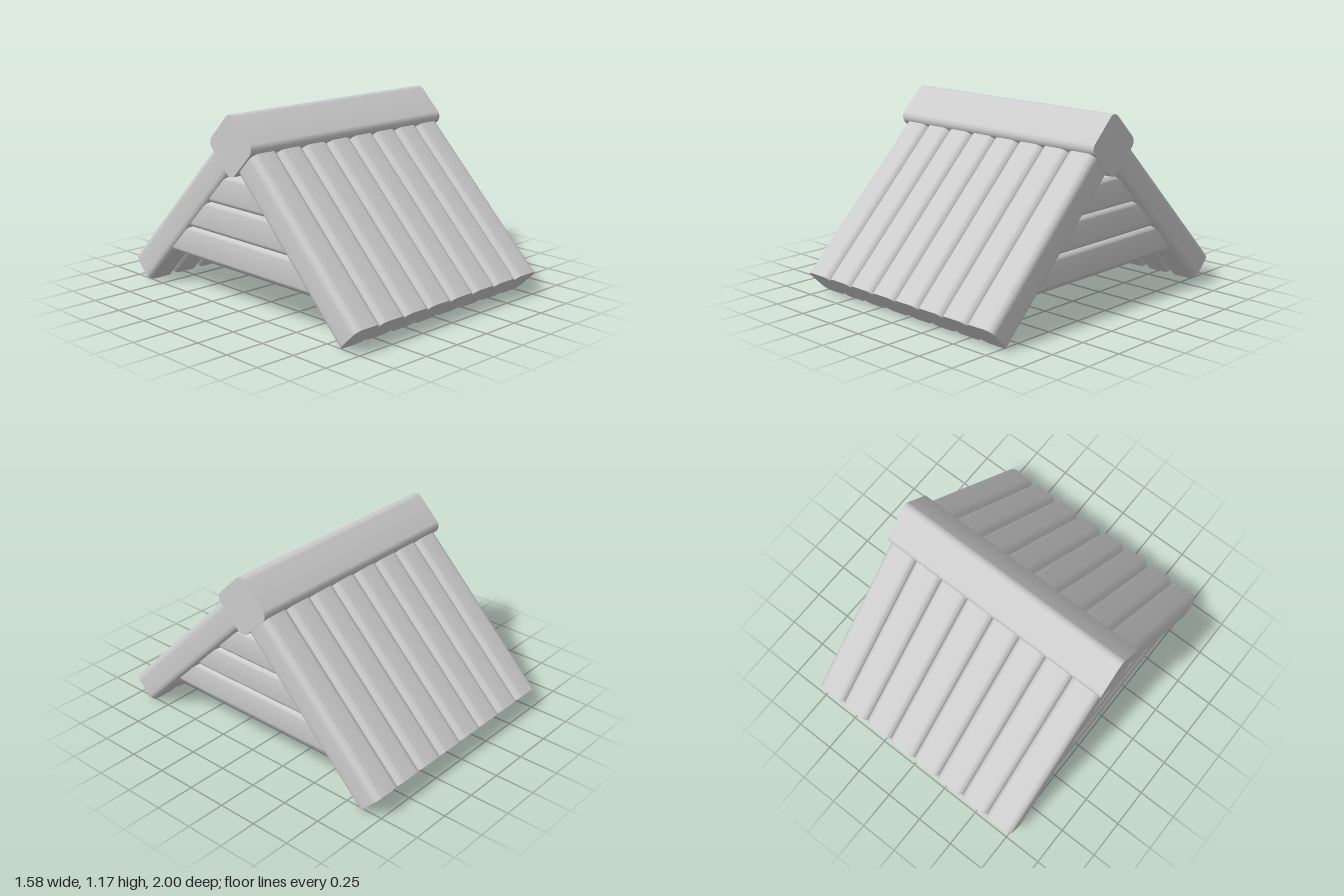
import * as THREE from 'three';
import { toCreasedNormals } from 'three/addons/utils/BufferGeometryUtils.js';

const material = new THREE.MeshStandardMaterial({ color: 0xcccccc });

// Beam with a rounded rectangular section, extruded from z = 0 to z = length
function beam(width, height, length, r = 0.047) {
  const x = width / 2, y = height / 2;
  const s = new THREE.Shape();
  s.absarc(x - r, y - r, r, 0, Math.PI / 2);
  s.absarc(-x + r, y - r, r, Math.PI / 2, Math.PI);
  s.absarc(-x + r, -y + r, r, Math.PI, Math.PI * 1.5);
  s.absarc(x - r, -y + r, r, Math.PI * 1.5, Math.PI * 2);
  const g = new THREE.ExtrudeGeometry(s, { depth: length, bevelEnabled: false, curveSegments: 8 });
  return toCreasedNormals(g, 0.6);
}

function add(parent, name, geometry) {
  const mesh = new THREE.Mesh(geometry, material);
  mesh.name = name;
  parent.add(mesh);
  return mesh;
}

export function createModel() {
  const roof = new THREE.Group();
  roof.name = 'gableRoof';

  // Ridge beam: square section standing on its corner
  const ridgeGeometry = beam(0.283, 0.283, 1.584);
  ridgeGeometry.rotateZ(Math.PI / 4);
  ridgeGeometry.translate(0, 0, -0.792);
  ridgeGeometry.rotateY(Math.PI / 2);
  add(roof, 'ridgeBeam', ridgeGeometry).position.y = 0.993;

  // Two slopes of eight planks, leaning at 45 degrees against the ridge
  const plank = beam(0.196, 0.198, 1.19);
  for (const side of [1, -1]) {
    const slope = new THREE.Group();
    slope.name = side > 0 ? 'frontSlope' : 'backSlope';
    roof.add(slope);
    for (let i = 0; i < 8; i++) {
      const mesh = add(slope, 'roofPlank', plank);
      mesh.position.set(0.005 + (i - 3.5) * 0.195, 0.07, side * 0.93);
      mesh.rotation.x = side > 0 ? -Math.PI * 0.75 : -Math.PI / 4;
    }
  }

  // Gable walls: three stacked boards at each end, just inside the outer planks
  for (const side of [1, -1]) {
    const gable = new THREE.Group();
    gable.name = side > 0 ? 'leftGable' : 'rightGable';
    roof.add(gable);
    for (let i = 0; i < 3; i++) {
      const bottom = 0.241 + i * 0.186;
      const half = 0.89 - bottom;
      const mesh = add(gable, 'gableBoard', beam(0.21, 0.192, half * 2, 0.035));
      mesh.position.set(side * 0.658, bottom + 0.096, -half);
    }
  }
  return roof;
}
